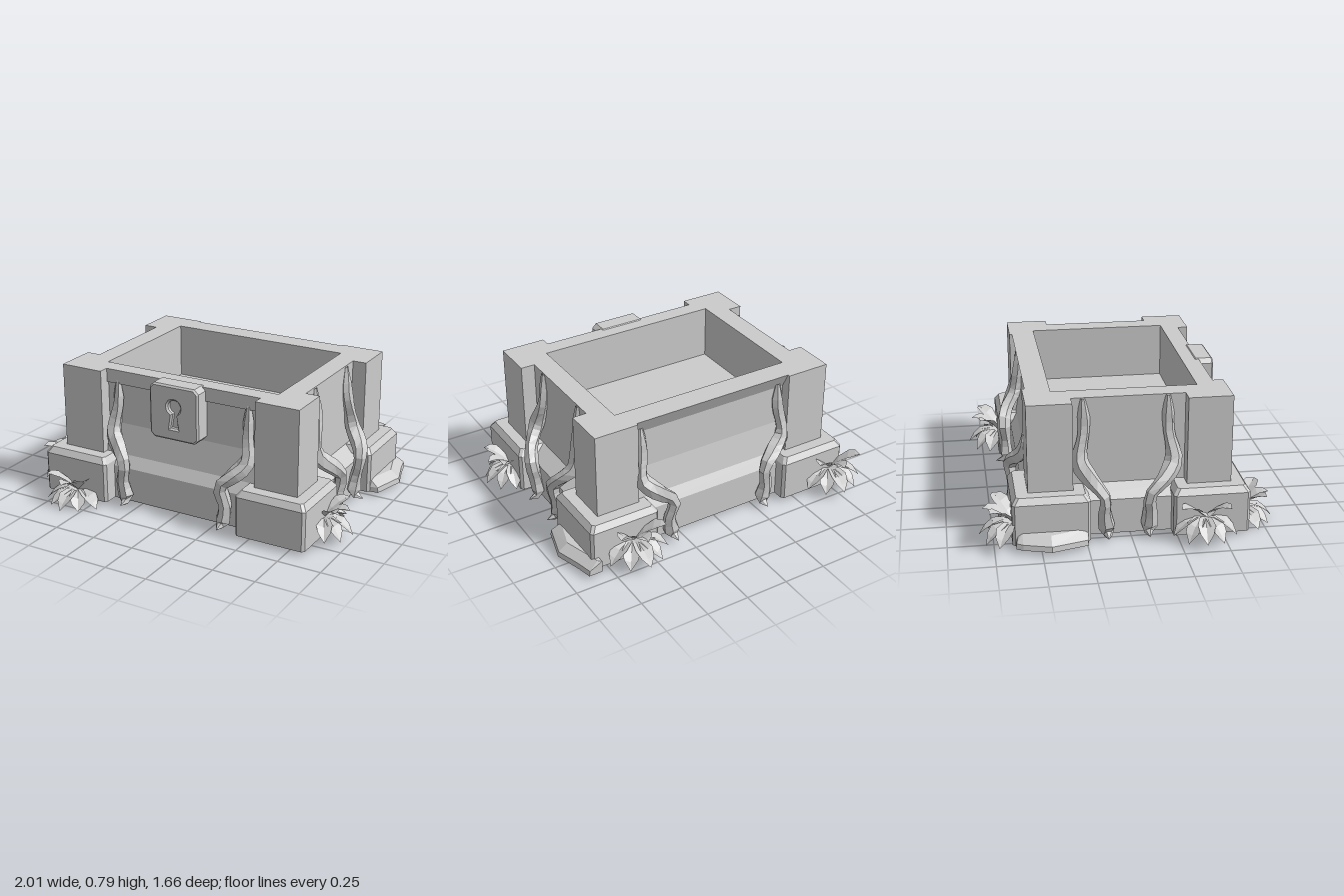
import * as THREE from 'three';

const stone = new THREE.MeshStandardMaterial({ color: 0xcccccc, flatShading: true });
const thin = new THREE.MeshStandardMaterial({ color: 0xcccccc, flatShading: true, side: THREE.DoubleSide });
const V = (x, y, z) => new THREE.Vector3(x, y, z);

function add(parent, name, geometry, material = stone) {
  const mesh = new THREE.Mesh(geometry, material);
  mesh.name = name;
  parent.add(mesh);
}

function fromTriangles(pos) {
  const g = new THREE.BufferGeometry();
  g.setAttribute('position', new THREE.Float32BufferAttribute(pos, 3));
  g.computeVertexNormals();
  return g;
}

// Convex solid through stacked outlines: levels = [[y, [[x, z], ...]], ...]
function loft(levels) {
  const rings = levels.map(([y, pts]) => {
    const area = pts.reduce((s, p, i) => {
      const q = pts[(i + 1) % pts.length];
      return s + p[0] * q[1] - q[0] * p[1];
    }, 0);
    return (area > 0 ? [...pts].reverse() : pts).map(([x, z]) => [x, y, z]);
  });
  const pos = [], n = rings[0].length, top = rings[rings.length - 1], low = rings[0];
  for (let k = 0; k + 1 < rings.length; k++) {
    for (let i = 0; i < n; i++) {
      const j = (i + 1) % n, a = rings[k], b = rings[k + 1];
      pos.push(...a[i], ...a[j], ...b[j], ...a[i], ...b[j], ...b[i]);
    }
  }
  for (let i = 1; i + 1 < n; i++) {
    pos.push(...top[0], ...top[i], ...top[i + 1], ...low[0], ...low[i + 1], ...low[i]);
  }
  return fromTriangles(pos);
}

// Rectangle outline with cut corners
const rect = (x0, x1, z0, z1, c = 0) => c
  ? [[x0 + c, z1], [x1 - c, z1], [x1, z1 - c], [x1, z0 + c], [x1 - c, z0], [x0 + c, z0], [x0, z0 + c], [x0, z1 - c]]
  : [[x0, z1], [x1, z1], [x1, z0], [x0, z0]];

// Vertical extrusion of an [x, z] outline, optionally with a hole
function slab(pts, y0, y1, hole) {
  const to2 = (p) => p.map(([x, z]) => new THREE.Vector2(x, -z));
  const shape = new THREE.Shape(to2(pts));
  if (hole) shape.holes.push(new THREE.Path(to2(hole)));
  return new THREE.ExtrudeGeometry(shape, { depth: y1 - y0, bevelEnabled: false })
    .rotateX(-Math.PI / 2).translate(0, y0, 0);
}

// Root: a coarse gnarled tube whose rings swell and taper
function root(points, radii) {
  const n = 18, sides = 6;
  const curve = new THREE.CatmullRomCurve3(points.map((p) => V(...p)));
  const g = new THREE.TubeGeometry(curve, n, 1, sides, false);
  const p = g.attributes.position, v = V(0, 0, 0);
  for (let i = 0; i <= n; i++) {
    const c = curve.getPointAt(i / n);
    const f = (i / n) * (radii.length - 1), k = Math.min(Math.floor(f), radii.length - 2);
    const r = THREE.MathUtils.lerp(radii[k], radii[k + 1], f - k);
    for (let j = 0; j <= sides; j++) {
      const id = i * (sides + 1) + j;
      const knot = 1 + 0.15 * Math.sin(2.4 * (j % sides) + 0.9 * i);
      v.fromBufferAttribute(p, id).sub(c).multiplyScalar(r * knot).add(c);
      p.setXYZ(id, v.x, Math.max(v.y, 0.03), v.z);
    }
  }
  g.computeVertexNormals();
  return g;
}

// Leaf: folded along its midrib, rising and then drooping along +z
function leaf(length, width, rise, droop) {
  const rows = [[0, 0.12], [0.3, 0.7], [0.6, 1], [0.82, 0.75], [1, 0]].map(([t, w]) => {
    const y = length * (rise * t - droop * t * t), h = w * width / 2;
    return [[-h, y + h * 0.35, t * length], [0, y, t * length], [h, y + h * 0.35, t * length]];
  });
  const pos = [];
  for (let i = 0; i + 1 < rows.length; i++) {
    for (let s = 0; s < 2; s++) {
      const [a, b, c, d] = [rows[i][s], rows[i][s + 1], rows[i + 1][s + 1], rows[i + 1][s]];
      pos.push(...a, ...c, ...b, ...a, ...d, ...c);
    }
  }
  return fromTriangles(pos);
}

// Plant: a low fan of broad leaves with a few steeper ones above it
function plant(parent, name, [x, y, z], yaw, size, lift) {
  const g = new THREE.Group();
  g.name = name;
  for (const [count, spread, scale, rise, droop] of [[5, 1.2, 1, 0.3, 0.75], [3, 0.85, 0.95, 1.05, 0.5]]) {
    for (let i = 0; i < count; i++) {
      const a = spread * (2 * i / (count - 1) - 1);
      const geo = leaf(size * scale * (i % 2 ? 0.92 : 1), size * 0.52, rise + lift, droop + 0.12 * (i % 2));
      geo.rotateY(yaw + a).translate(x, y, z);
      const p = geo.attributes.position;
      for (let k = 0; k < p.count; k++) p.setY(k, Math.max(p.getY(k), 0.005));
      add(g, 'leaf', geo, thin);
    }
  }
  parent.add(g);
}

export function createModel() {
  const model = new THREE.Group();
  model.name = 'stoneChest';
  const opening = rect(-0.54, 0.56, -0.41, 0.39);

  // Plinth with sloped shoulder; its top is the floor inside
  const core = rect(-0.66, 0.68, -0.5, 0.475);
  const shoulder = rect(-0.66, 0.68, -0.535, 0.51);
  const foot = rect(-0.75, 0.77, -0.575, 0.55);
  add(model, 'plinth', loft([[0.03, foot], [0.23, foot], [0.295, shoulder], [0.47, core]]));
  add(model, 'walls', slab(core, 0.47, 0.72, opening));
  add(model, 'rim', slab(rect(-0.66, 0.68, -0.5, 0.49), 0.71, 0.79, opening));
  add(model, 'backEave', loft([[0.7, rect(-0.5, 0.52, -0.5, -0.42)], [0.79, rect(-0.5, 0.52, -0.545, -0.42)]]));

  // Corner pillars (wrapping the opening) and their foot blocks
  for (const sx of [-1, 1]) {
    for (const sz of [-1, 1]) {
      const X = (v) => 0.01 + sx * v, Z = (v) => -0.005 + sz * v;
      const openX = X(0.55), openZ = sz > 0 ? 0.39 : -0.41;
      const pts = [[X(0.752), Z(0.555)], [X(0.492), Z(0.555)], [X(0.492), openZ],
        [openX, openZ], [openX, Z(0.31)], [X(0.752), Z(0.31)]];
      if (sx * sz > 0) pts.reverse();
      add(model, 'pillar', slab(pts, 0.27, 0.79));

      const [x0, x1] = [X(0.42), X(0.84)].sort((a, b) => a - b);
      const [z0, z1] = [Z(0.225), Z(0.647)].sort((a, b) => a - b);
      const full = rect(x0, x1, z0, z1, 0.015);
      add(model, 'footBlock', loft([[0.03, full], [0.26, full],
        [0.295, rect(x0 + 0.025, x1 - 0.025, z0 + 0.025, z1 - 0.025, 0.015)]]));
    }
  }

  // Low sloping rock ledges beside the rear foot blocks
  for (const [s, end] of [[-1, -0.635], [1, -0.69]]) {
    const ledge = (k) => [[0.8, end], [0.88 - k, end + k * 0.3], [0.9 - k, -0.6], [0.945 - k, -0.45],
      [0.89 - k, -0.25 - k * 0.3], [0.8, -0.24]].map(([x, z]) => [0.01 + s * x, z]);
    add(model, 'rockLedge', loft([[0.03, ledge(0)], [0.06, ledge(0.005)], [0.1, ledge(0.06)]]));
  }

  // Lock plate with a recessed keyhole
  const plate = new THREE.Shape(
    rect(-0.135, 0.155, 0.485, 0.785, 0.02).map(([x, y]) => new THREE.Vector2(x, y)));
  const key = new THREE.Path();
  key.moveTo(-0.025, 0.535);
  key.lineTo(0.045, 0.535);
  key.lineTo(0.03, 0.625);
  key.absarc(0.01, 0.67, 0.05, -1.16, Math.PI + 1.16, false);
  key.closePath();
  plate.holes.push(key);
  add(model, 'lockPlate', new THREE.ExtrudeGeometry(plate, {
    depth: 0.09, bevelThickness: 0.01, bevelSize: 0.01, bevelSegments: 1, curveSegments: 8,
  }).translate(0, 0, 0.473));
  add(model, 'keyholeBack', new THREE.BoxGeometry(0.2, 0.24, 0.06).translate(0.01, 0.63, 0.515));

  // Roots: thin at the top, kneeing over the plinth, splayed at the ground
  const radii = [0.012, 0.03, 0.034, 0.038, 0.046, 0.044, 0.04, 0.036, 0.036, 0.045, 0];

  // Front and back: [side, top x, knee x, foot x]
  for (const [s, a, b, c] of [[1, -0.41, -0.36, -0.31], [1, 0.43, 0.38, 0.32],
    [-1, -0.44, -0.36, -0.29], [-1, 0.46, 0.4, 0.32]]) {
    const z = (v) => s * v - (s < 0 ? 0.03 : 0);
    add(model, s > 0 ? 'frontRoot' : 'backRoot', root([[a, 0.73, z(0.48)], [a, 0.58, z(0.49)],
      [a - Math.sign(c) * -0.015, 0.42, z(0.52)], [b, 0.345, z(0.57)], [c, 0.28, z(0.595)],
      [c + Math.sign(c) * 0.02, 0.16, z(0.585)], [c, 0.05, z(0.59)], [c, 0.035, z(0.65)]], radii), thin);
  }

  // Both sides: [side, top z, knee z, foot z]
  for (const [s, a, b, c] of [[1, 0.19, 0.24, 0.12], [1, -0.22, -0.25, -0.14],
    [-1, 0.21, 0.24, 0.1], [-1, -0.25, -0.27, -0.15]]) {
    const x = (v) => 0.01 + s * v;
    add(model, 'sideRoot', root([[x(0.67), 0.785, a], [x(0.68), 0.6, a], [x(0.71), 0.43, b],
      [x(0.78), 0.34, (b + c) / 2], [x(0.81), 0.27, c], [x(0.79), 0.15, c],
      [x(0.79), 0.05, c * 0.9], [x(0.85), 0.035, c * 0.9]], radii), thin);
  }

  // Plants around the foot blocks
  plant(model, 'frontPlant', [-0.61, 0.07, 0.64], 0, 0.185, 0.1);
  plant(model, 'leftPlant', [0.84, 0.13, 0.38], Math.PI / 2 + 0.1, 0.17, 0);
  plant(model, 'rightPlant', [-0.82, 0.13, 0.39], -Math.PI / 2 - 0.1, 0.185, 0);
  plant(model, 'backRightPlant', [-0.75, 0.13, -0.64], Math.PI - 0.1, 0.19, 0.1);
  plant(model, 'backLeftPlant', [0.59, 0.13, -0.64], Math.PI, 0.195, 0.1);
  return model;
}
